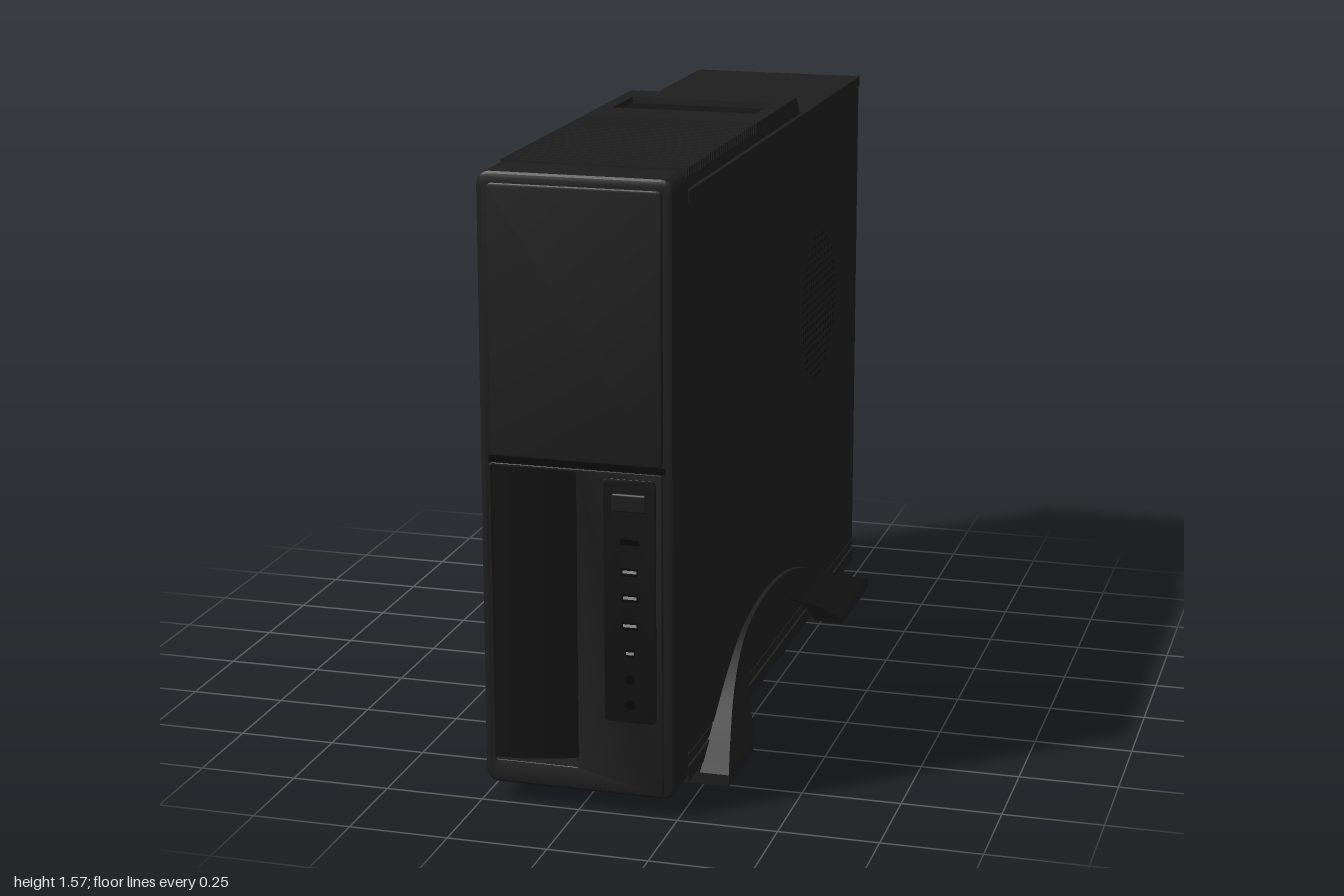
import * as THREE from 'three';
import { mergeGeometries, toCreasedNormals } from 'three/addons/utils/BufferGeometryUtils.js';
import { RoundedBoxGeometry } from 'three/addons/geometries/RoundedBoxGeometry.js';

const mat = (name, color, side = THREE.FrontSide) => {
  const m = new THREE.MeshStandardMaterial({ color, side });
  m.name = name;
  return m;
};

export function createModel() {
  const root = new THREE.Group();
  root.name = 'slimComputerTower';
  const black = mat('caseBlack', 0x1e1e1e);
  const dark = mat('recessBlack', 0x141414);
  const hole = mat('holeBlack', 0x070707);
  const steel = mat('steel', 0x6e6e6e);
  const silver = mat('silver', 0x9a9a9a);

  const add = (name, geo, m, parent = root) => {
    const mesh = new THREE.Mesh(geo, m);
    mesh.name = name;
    parent.add(mesh);
    return mesh;
  };
  // Box given by its limits
  const span = (x0, x1, y0, y1, z0, z1) =>
    new THREE.BoxGeometry(x1 - x0, y1 - y0, z1 - z0).translate((x0 + x1) / 2, (y0 + y1) / 2, (z0 + z1) / 2);
  const box = (name, m, ...s) => add(name, span(...s), m);
  const roundRect = (x0, x1, y0, y1, r, S = THREE.Shape) => {
    const s = new S();
    s.moveTo(x0 + r, y0).lineTo(x1 - r, y0).absarc(x1 - r, y0 + r, r, -Math.PI / 2, 0);
    s.lineTo(x1, y1 - r).absarc(x1 - r, y1 - r, r, 0, Math.PI / 2);
    s.lineTo(x0 + r, y1).absarc(x0 + r, y1 - r, r, Math.PI / 2, Math.PI);
    s.lineTo(x0, y0 + r).absarc(x0 + r, y0 + r, r, Math.PI, Math.PI * 1.5);
    return s;
  };
  // Plate facing +z between two depths, with a bevelled rim
  const plate = (shape, z0, z1, bevel) => toCreasedNormals(new THREE.ExtrudeGeometry(shape, {
    depth: z1 - z0 - 2 * bevel, bevelEnabled: bevel > 0, bevelThickness: bevel, bevelSize: bevel,
    bevelOffset: -bevel, bevelSegments: 3, curveSegments: 6,
  }).translate(0, 0, z0 + bevel), 0.5);

  // Case shell
  box('caseCore', black, -0.231, 0.231, 0.055, 1.515, -0.968, 0.87);
  box('topCover', black, -0.242, 0.242, 1.495, 1.522, -0.97, 0.87);
  box('bottomRail', black, -0.242, 0.242, 0.048, 0.085, -0.97, 0.87);
  box('lowerRail', black, -0.239, 0.239, 0.09, 0.113, -0.968, 0.87);

  // Side panels with shallow creases running out of the fan grille
  const fanZ = -0.48, fanY = 0.95;
  const creases = [[0.2, 1.34], [-0.85, 1.36], [-0.8, 0.62], [0.3, 0.42]].map(([z, y]) => {
    const length = Math.hypot(z - fanZ, y - fanY);
    return { dz: (z - fanZ) / length, dy: (y - fanY) / length, length };
  });
  const dent = (z, y) => Math.max(...creases.map(c => {
    const along = (z - fanZ) * c.dz + (y - fanY) * c.dy;
    const across = Math.abs((z - fanZ) * c.dy - (y - fanY) * c.dz);
    const t = (along - 0.2) / (c.length - 0.2);
    if (t < 0 || t > 1) return 0;
    return 0.006 * (1 - t) * Math.max(0, 1 - across / (0.03 + 0.07 * (1 - t)));
  }));
  for (const s of [1, -1]) {
    const panel = new THREE.PlaneGeometry(1.82, 1.374, 80, 60).rotateY(s * Math.PI / 2).translate(s * 0.24, 0.805, -0.055);
    const p = panel.attributes.position;
    for (let i = 0; i < p.count; i++) p.setX(i, s * (0.24 - dent(p.getZ(i), p.getY(i))));
    panel.computeVertexNormals();
    add('sidePanel', panel, black);

    // Fan grille perforations
    const dots = [];
    for (let r = -9; r <= 9; r++) for (let c = -9; c <= 9; c++) {
      const y = r * 0.022, z = c * 0.022;
      if (Math.hypot(y, z) < 0.205)
        dots.push(new THREE.CircleGeometry(0.0055, 6).rotateY(s * Math.PI / 2).translate(s * 0.2412, fanY + y, fanZ + z));
    }
    add('fanGrille', mergeGeometries(dots), hole);

    // Grip on the side of the front bezel
    const grip = new THREE.ShapeGeometry(roundRect(-0.04, 0.04, 0.82, 1.5, 0.035));
    add('sideGrip', grip.rotateY(s * Math.PI / 2).translate(s * 0.2412, 0, 0.92), dark);
  }

  // Top module: sloped back, window recess, ribbed vent
  const profile = new THREE.Shape([[-0.29, 1.515], [0.87, 1.515], [0.87, 1.55], [0.19, 1.55], [0.19, 1.572], [0.05, 1.572],
    [0.05, 1.552], [-0.13, 1.552], [-0.13, 1.572], [-0.24, 1.572]].map(a => new THREE.Vector2(...a)));
  add('topModule', new THREE.ExtrudeGeometry(profile, { depth: 0.46, bevelEnabled: false })
    .rotateY(-Math.PI / 2).translate(0.23, 0, 0), black);
  box('windowSide', black, 0.192, 0.23, 1.54, 1.572, -0.13, 0.05);
  box('windowSide', black, -0.23, -0.195, 1.54, 1.572, -0.13, 0.05);
  box('topWindow', dark, -0.195, 0.192, 1.552, 1.556, -0.13, 0.05);
  box('ventFloor', dark, -0.222, 0.222, 1.549, 1.553, 0.192, 0.85);
  const ribs = [];
  for (let i = 0; i < 32; i++) ribs.push(span(-0.23, 0.23, 1.545, 1.572, 0.202 + i * 0.0203, 0.213 + i * 0.0203));
  add('ventRibs', mergeGeometries(ribs), black);

  // Front bezel with the sunken lower bay
  const recess = () => roundRect(-0.213, 0, 0.11, 0.858, 0.006, THREE.Path);
  const frame = roundRect(-0.243, 0.243, 0.045, 1.572, 0.035);
  frame.holes.push(recess());
  add('frontBezel', plate(frame, 0.865, 0.993, 0.014), black);
  add('upperDoor', plate(roundRect(-0.214, 0.214, 0.882, 1.545, 0.014), 0.97, 1.0, 0.006), black);
  const lower = roundRect(-0.22, 0.214, 0.055, 0.866, 0.012);
  lower.holes.push(recess());
  add('lowerPanel', plate(lower, 0.97, 0.999, 0.003), black);
  box('doorGap', hole, -0.22, 0.22, 0.866, 0.882, 0.985, 0.9945);
  const bay = new THREE.PlaneGeometry(0.225, 0.76, 16, 1).translate(-0.1065, 0.484, 0);
  const b = bay.attributes.position;
  for (let i = 0; i < b.count; i++) b.setZ(i, 0.985 - 0.06 * ((b.getX(i) + 0.219) / 0.225) ** 2);
  bay.computeVertexNormals();
  add('sunkenBay', bay, dark);

  // Front controls and sockets
  add('controlStrip', plate(roundRect(0.068, 0.198, 0.24, 0.85, 0.012), 0.99, 1.0005, 0.001), dark);
  add('powerButton', new RoundedBoxGeometry(0.085, 0.045, 0.012, 2, 0.005).translate(0.132, 0.792, 0.999), black);
  box('indicatorLights', hole, 0.11, 0.158, 0.688, 0.702, 0.996, 1.0015);
  [0.62, 0.555, 0.485, 0.415].forEach((y, i) => {
    const w = i === 3 ? 0.012 : 0.021;
    box('frontSocket', hole, 0.133 - w, 0.133 + w, y - 0.01, y + 0.01, 0.996, 1.0015);
    box('socketTongue', silver, 0.133 - w * 0.8, 0.133 + w * 0.8, y - 0.002, y + 0.005, 0.996, 1.003);
  });
  for (const y of [0.35, 0.285])
    add('audioJack', new THREE.CylinderGeometry(0.012, 0.012, 0.005, 16).rotateX(Math.PI / 2).translate(0.133, y, 1), hole);

  // Rear panel
  const back = (name, m, x, y, w, h, out = 0.006) =>
    box(name, m, x - w / 2, x + w / 2, y - h / 2, y + h / 2, -0.97 - out, -0.96);
  back('rearPanel', steel, 0.01, 0.79, 0.41, 1.41, 0.002);
  back('powerInletPlate', steel, 0.1, 1.44, 0.2, 0.11, 0.004);
  back('powerInlet', hole, 0.1, 1.44, 0.15, 0.07, 0.009);
  for (const x of [0.065, 0.1, 0.135]) back('powerPin', silver, x, 1.44, 0.008, 0.02, 0.011);
  back('connectorPlate', steel, 0.09, 0.96, 0.2, 0.76, 0.006);
  back('plateSeam', hole, -0.018, 0.96, 0.006, 0.8, 0.003);
  [[0.155, 1.18, 0.04, 0.1], [0.155, 1.03, 0.03, 0.06], [0.135, 0.925, 0.06, 0.05], [0.12, 0.73, 0.085, 0.06],
    [-0.13, 1.39, 0.06, 0.04]].forEach(a => back('rearSocket', hole, ...a, 0.012));
  back('videoSocketShell', silver, 0.07, 1.19, 0.045, 0.11, 0.011);
  back('videoSocket', hole, 0.07, 1.19, 0.028, 0.075, 0.014);

  // Rear round parts: sockets, standoffs, vent holes
  const round = (name, m, x, y, r, z0, z1, sides = 12) =>
    add(name, new THREE.CylinderGeometry(r, r, z1 - z0, sides).rotateX(Math.PI / 2).translate(x, y, (z0 + z1) / 2), m);
  for (const x of [0.15, 0.09, 0.03]) round('rearJack', hole, x, 0.63, 0.013, -0.981, -0.97);
  for (const x of [0.145, 0.07]) round('roundSocket', silver, x, 1.32, 0.016, -0.981, -0.97);
  for (const x of [0.145, 0.07]) round('roundSocketHole', hole, x, 1.32, 0.01, -0.983, -0.97);
  const vents = [];
  for (let i = 0; i < 24; i++) for (let j = 0; j < 4; j++)
    vents.push(new THREE.CircleGeometry(0.009, 6).rotateY(Math.PI).translate(-0.095 - j * 0.025, 0.72 + i * 0.0275, -0.973));
  add('rearVentHoles', mergeGeometries(vents), hole);

  // Expansion slot covers and their retaining strip
  for (let i = 0; i < 5; i++) {
    const y = 0.16 + i * 0.088;
    back('slotOpening', hole, 0.025, y, 0.34, 0.078, 0.004);
    back('slotCover', steel, 0.025, y, 0.325, 0.058, 0.01);
  }
  box('slotStrip', steel, -0.182, -0.168, 0.16, 0.605, -0.99, -0.965);
  for (const y of [0.18, 1.45]) {
    round('thumbScrewShaft', silver, -0.218, y, 0.007, -0.985, -0.965);
    round('thumbScrew', steel, -0.218, y, 0.016, -1.0, -0.98, 16);
  }

  // Arched stand: one flared band per side, joined by bars under the case
  const curve = pts => new THREE.CatmullRomCurve3(pts.map(([z, y]) => new THREE.Vector3(0, y, z)), false, 'centripetal');
  const outer = curve([[0.76, 0.03], [0.66, 0.095], [0.5, 0.2], [0.35, 0.27], [0.13, 0.3], [-0.1, 0.285], [-0.3, 0.235],
    [-0.5, 0.16], [-0.7, 0.085], [-0.855, 0.03]]);
  const inner = curve([[0.5, 0.03], [0.45, 0.1], [0.38, 0.18], [0.29, 0.232], [0.12, 0.25], [-0.04, 0.225], [-0.17, 0.18],
    [-0.3, 0.125], [-0.4, 0.075], [-0.48, 0.03]]);
  const flare = y => 0.252 + 0.063 * Math.pow(Math.max(0, 1 - Math.max(0, y - 0.03) / 0.27), 1.6);
  const stations = [[new THREE.Vector3(0, 0, 0.76), new THREE.Vector3(0, 0, 0.52)]];
  for (let i = 0; i <= 36; i++) stations.push([outer.getPoint(i / 36), inner.getPoint(i / 36)]);
  stations.push([new THREE.Vector3(0, 0, -0.855), new THREE.Vector3(0, 0, -0.52)]);
  for (const s of [1, -1]) {
    const pos = [], idx = [], steps = 5, ring = steps + 3;
    for (const [o, n] of stations) {
      for (let k = 0; k <= steps; k++) {
        const q = o.clone().lerp(n, k / steps);
        pos.push(s * flare(q.y), q.y, q.z);
      }
      pos.push(s * 0.232, n.y, n.z, s * 0.232, o.y, o.z);
    }
    const quad = (a, c, d, e) => s > 0 ? idx.push(a, c, d, a, d, e) : idx.push(a, d, c, a, e, d);
    for (let i = 0; i < stations.length - 1; i++) for (let k = 0; k < ring; k++) {
      const a = i * ring + k, c = i * ring + (k + 1) % ring;
      quad(a, a + ring, c + ring, c);
    }
    const last = (stations.length - 1) * ring;
    quad(0, steps, steps + 1, steps + 2);
    quad(last, last + steps + 2, last + steps + 1, last + steps);
    const g = new THREE.BufferGeometry();
    g.setAttribute('position', new THREE.Float32BufferAttribute(pos, 3));
    g.setIndex(idx);
    add('standArch', toCreasedNormals(g, 0.6), standMaterial());
  }
  function standMaterial() { black.side = THREE.DoubleSide; return black; }
  box('frontFootBar', black, -0.24, 0.24, 0, 0.05, 0.52, 0.76);
  box('rearFootBar', black, -0.24, 0.24, 0, 0.05, -0.855, -0.52);

  return root;
}
